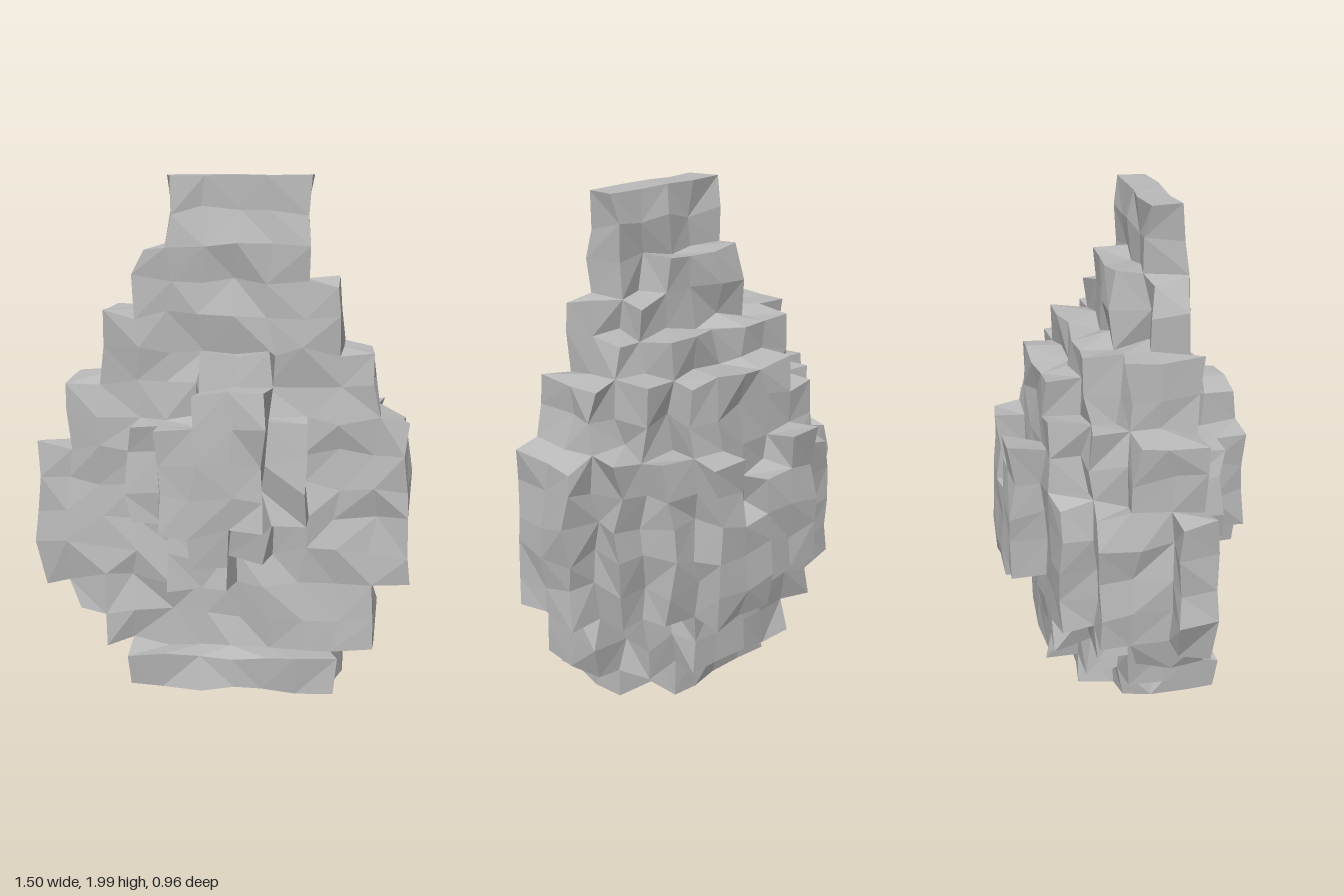
import * as THREE from 'three';

const STEP = 0.1325;
// First and last filled column, and depth in cells, for each row from the ground up
const ROWS = [
  [3, 8, 3], [2, 9, 4], [1, 9, 4], [0, 10, 4], [0, 10, 4],
  [0, 10, 4], [0, 10, 4], [1, 10, 4], [1, 9, 4], [2, 9, 4],
  [2, 8, 3], [3, 8, 2], [3, 7, 2], [4, 7, 1], [4, 7, 1],
];
// Greatest depth of each column
const COLUMN_DEPTH = [1, 3, 4, 4, 4, 4, 4, 4, 4, 3, 2];
// Columns of the outermost layer at the back, by row
const BACK_LUMP = { 3: [6, 7], 4: [4, 5, 6, 7], 5: [4, 5, 6, 7], 6: [4, 5, 7], 7: [4, 7] };
// Columns of the inner and outer layers of the front lump, by row
const LUMP_INNER = {
  3: [4, 5], 4: [4, 5, 6], 5: [3, 4, 5, 6, 7], 6: [3, 4, 5, 6, 7],
  7: [3, 4, 5, 6, 7], 8: [5, 6], 9: [5, 6],
};
const LUMP_OUTER = { 4: [5], 5: [4, 5, 6], 6: [4, 5, 6], 7: [4, 5, 6], 8: [5, 6] };

// Corners pulled well off the lattice, as column,row: [x, y]
const PULLS = {
  '3,13': [0.05, -0.03], '0,3': [0.04, -0.02], '0,7': [0.01, 0], '1,2': [0.03, 0],
  '9,14': [0.03, 0], '10,2': [0.03, 0], '10,8': [0.02, 0], '11,8': [-0.01, -0.02],
};

const has = (table, j, i) => Boolean(table[j]?.includes(i));

// Which part fills a cell, or null when it is empty
function partAt(i, j, k) {
  const row = ROWS[j];
  if (!row || i < row[0] || i > row[1]) return null;
  if (k === 6) return has(LUMP_OUTER, j, i) ? 'frontLump' : null;
  if (k === 5) {
    if (j === 0) return 'base';
    return has(LUMP_INNER, j, i) ? 'frontLump' : null;
  }
  if (k === 0) return has(BACK_LUMP, j, i) ? 'backLump' : null;
  const edge = Math.min(i - row[0], row[1] - i);
  const depth = Math.min(row[2], COLUMN_DEPTH[i], edge + (j > 10 ? 1 : 2));
  if (k > 4 || k < 5 - depth) return null;
  return j === 0 ? 'base' : 'rockBody';
}

// Repeatable value from -1 to 1 for a lattice corner
function hash(i, j, k, n) {
  const s = Math.sin(i * 127.1 + j * 311.7 + k * 74.7 + n * 191.3) * 43758.5453;
  return 2 * (s - Math.floor(s)) - 1;
}

// Uneven position of a lattice corner
function corner([i, j, k]) {
  const [pullX, pullY] = PULLS[`${i},${j}`] ?? [0, 0];
  const y = 0.015 + STEP * j + pullY + (j === 0 || j === 15 ? 0.01 : 0.021) * hash(i, j, k, 2);
  const bulge = k === 5 && j < 14 ? 0.009 : 0;
  return [
    -0.722 + 0.1328 * i + pullX + 0.022 * hash(i, j, k, 1),
    Math.min(2, Math.max(0, y)),
    -0.456 + 0.1328 * k + bulge + 0.02 * hash(i, j, k, 3),
  ];
}

export function createModel() {
  const model = new THREE.Group();
  model.name = 'rock';
  const stone = new THREE.MeshStandardMaterial({ color: 0xbababa, flatShading: true });
  stone.name = 'grey stone';
  const parts = { rockBody: [], frontLump: [], backLump: [], base: [] };

  // Every exposed cell side becomes two triangles
  for (let i = 0; i < 11; i++) for (let j = 0; j < 15; j++) for (let k = 0; k < 7; k++) {
    const part = partAt(i, j, k);
    if (!part) continue;
    for (let axis = 0; axis < 3; axis++) for (const side of [-1, 1]) {
      const next = [i, j, k];
      next[axis] += side;
      if (partAt(...next)) continue;
      const start = [i, j, k];
      if (side > 0) start[axis]++;
      const quad = [[0, 0], [1, 0], [1, 1], [0, 1]].map(([u, v]) => {
        const c = [...start];
        c[(axis + 1) % 3] += u;
        c[(axis + 2) % 3] += v;
        return corner(c);
      });
      if (side < 0) quad.reverse();
      const [a, b, c, d] = quad;
      const tris = hash(i, j, k, 4 + axis) > 0 ? [a, b, c, a, c, d] : [b, c, d, b, d, a];
      parts[part].push(...tris.flat());
    }
  }

  for (const [name, positions] of Object.entries(parts)) {
    const geometry = new THREE.BufferGeometry();
    geometry.setAttribute('position', new THREE.Float32BufferAttribute(positions, 3));
    geometry.computeVertexNormals();
    const mesh = new THREE.Mesh(geometry, stone);
    mesh.name = name;
    model.add(mesh);
  }
  return model;
}
